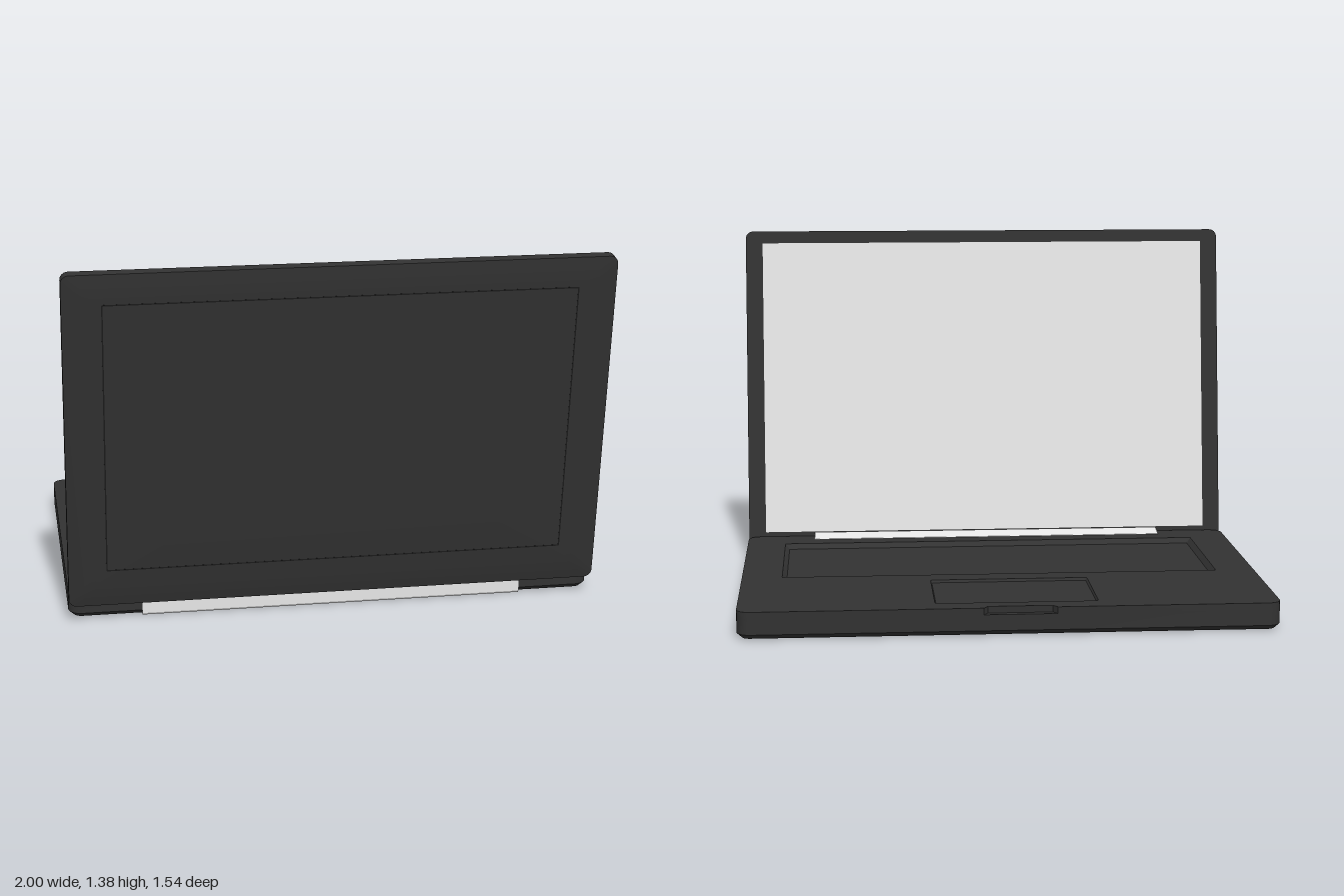
import * as THREE from 'three';
import { toCreasedNormals } from 'three/addons/utils/BufferGeometryUtils.js';

const material = (name, color) => {
  const m = new THREE.MeshStandardMaterial({ color });
  m.name = name;
  return m;
};

const N = 6; // segments per rounded corner

// Rounded rectangle as a list of [x, z] points, moved inwards by inset
function ring(x0, x1, z0, z1, r, inset = 0) {
  x0 += inset; x1 -= inset; z0 += inset; z1 -= inset;
  const corners = [[x1 - r, z1 - r], [x0 + r, z1 - r], [x0 + r, z0 + r], [x1 - r, z0 + r]];
  const pts = [];
  corners.forEach(([cx, cz], q) => {
    for (let i = 0; i <= N; i++) {
      const a = (q + i / N) * Math.PI / 2;
      pts.push([cx + r * Math.cos(a), cz + r * Math.sin(a)]);
    }
  });
  return pts;
}

// Skin stacked rings; levels are [points, y]
function loft(levels, capped = true) {
  const pos = [];
  const n = levels[0][0].length;
  const at = (k, i) => {
    const [p, y] = levels[k];
    return [p[i % n][0], y, p[i % n][1]];
  };
  const centre = (k) => {
    const [p, y] = levels[k];
    return [(p[0][0] + p[n / 2][0]) / 2, y, (p[0][1] + p[n / 2][1]) / 2];
  };
  const last = levels.length - 1;
  for (let i = 0; i < n; i++) {
    for (let k = 0; k < last; k++) {
      const a = at(k, i), b = at(k, i + 1), c = at(k + 1, i + 1), d = at(k + 1, i);
      pos.push(...a, ...d, ...b, ...b, ...d, ...c);
    }
    if (capped) {
      pos.push(...centre(last), ...at(last, i + 1), ...at(last, i));
      pos.push(...centre(0), ...at(0, i), ...at(0, i + 1));
    }
  }
  const g = new THREE.BufferGeometry();
  g.setAttribute('position', new THREE.Float32BufferAttribute(pos, 3));
  g.computeVertexNormals();
  return toCreasedNormals(g, 0.6);
}

// Flat plate from an [x, z] outline with holes, between two heights
function plate(outline, holes, y0, y1) {
  const vec = (pts) => pts.map(([x, z]) => new THREE.Vector2(x, z));
  const shape = new THREE.Shape(vec(outline));
  shape.holes = holes.map((h) => new THREE.Path(vec(h)));
  const g = new THREE.ExtrudeGeometry(shape, { depth: y1 - y0, bevelEnabled: false });
  g.rotateX(Math.PI / 2).translate(0, y1, 0);
  return toCreasedNormals(g, 0.6);
}

export function createModel() {
  const dark = material('dark casing', 0x323232);
  const seam = material('dark seam', 0x1c1c1c);
  const silver = material('silver', 0xe6e6e6);

  const model = new THREE.Group();
  model.name = 'laptop';
  const add = (parent, name, geometry, mat) => {
    const mesh = new THREE.Mesh(geometry, mat);
    mesh.name = name;
    parent.add(mesh);
  };

  // Base: lower tray with a chamfered underside
  const base = new THREE.Group();
  base.name = 'base';
  model.add(base);
  const outline = (inset) => ring(-1, 1, -0.77, 0.54, 0.05 - inset, inset);
  const trayY = 0.08, topY = 0.105;
  add(base, 'lowerTray', loft([[outline(0.02), 0.002], [outline(0), 0.02], [outline(0), trayY]]), dark);

  // Top deck with a finger notch in the near edge, keyboard well and touchpad recess
  const deck = outline(0);
  deck.splice(3 * (N + 1), 0, [-0.17, -0.77], [-0.155, -0.745], [0.085, -0.745], [0.1, -0.77]);
  const well = (inset) => ring(-0.85, 0.845, -0.22, 0.39, 0.004, inset);
  const pad = (inset) => ring(-0.33, 0.275, -0.685, -0.31, 0.012, inset);
  add(base, 'topDeck', plate(deck, [well(0), pad(0)], trayY, topY), dark);

  // Each recess has sloping sides and its own floor
  const addRecess = (name, shape, slope, floorY) => {
    add(base, name + 'Sides', loft([[shape(0), topY], [shape(slope), floorY]], false), dark);
    add(base, name + 'Floor', plate(shape(slope), [], floorY - 0.002, floorY), dark);
  };
  addRecess('keyboardWell', well, 0.017, 0.085);
  addRecess('touchpad', pad, 0.005, 0.095);

  // Hinge cover wrapping the rear edge, profile points are [z, y]
  const profile = [[0.47, 0.09], [0.47, 0.1065], [0.538, 0.121], [0.543, 0.117],
    [0.543, 0.008], [0.538, 0], [0.495, 0], [0.495, 0.02]];
  const hinge = new THREE.ExtrudeGeometry(
    new THREE.Shape(profile.map(([z, y]) => new THREE.Vector2(-z, y))),
    { depth: 1.45, bevelEnabled: false });
  hinge.rotateY(Math.PI / 2).translate(-0.725, 0, 0);
  add(base, 'hingeCover', hinge, silver);

  // Lid: local y points out of its back, local -z points up the lid
  const lid = new THREE.Group();
  lid.name = 'lid';
  lid.position.set(0, 0.7245, 0.636);
  lid.rotation.x = THREE.MathUtils.degToRad(98.09);
  model.add(lid);
  const half = 0.659;
  const edge = (inset) => ring(-1, 1, -half, half, 0.03, inset);
  add(lid, 'lidShell', loft([[edge(0), 0], [edge(0), 0.041], [edge(0.06), 0.05], [edge(0.1), 0.051]]), dark);

  // Thin seam around the back panel
  const panel = (inset) => ring(-0.86, 0.86, half - 1.208, half - 0.148, 0.004, inset);
  add(lid, 'backPanelSeam', plate(panel(0), [panel(0.005)], 0.05, 0.0515), seam);

  // Screen on the inner face
  add(lid, 'screen', plate(ring(-0.93, 0.93, half - 1.268, half - 0.05, 0.002), [], -0.002, 0.002), silver);

  return model;
}
